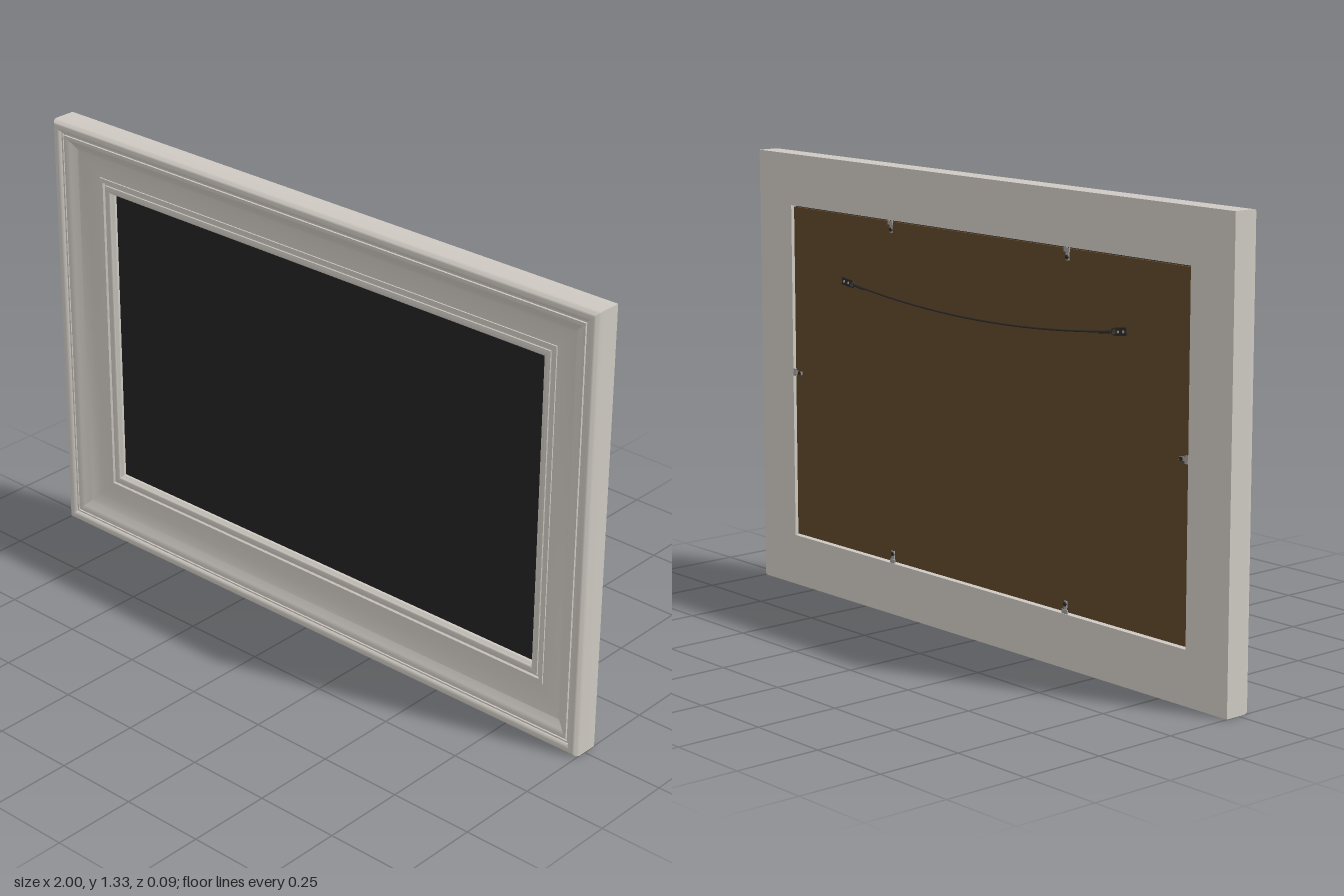
import * as THREE from 'three';
import { toCreasedNormals } from 'three/addons/utils/BufferGeometryUtils.js';

const W = 1, H = 1.33, BACK = -0.043;
const mat = (name, color) => Object.assign(new THREE.MeshStandardMaterial({ color }), { name });

// Moulding cross-section as [inset from outer edge, z], from the back outer edge around the front
function mouldingProfile() {
  const p = [[0, BACK], [0, 0.02]];
  for (let i = 1; i <= 5; i++) { // rounded outer shoulder
    const a = (i / 5) * Math.PI / 2;
    p.push([0.015 * (1 - Math.cos(a)), 0.02 + 0.023 * Math.sin(a)]);
  }
  p.push([0.022, 0.043], [0.028, 0.040], [0.032, 0.034], [0.036, 0.033],
    [0.036, 0.028], [0.041, 0.028], [0.041, 0.034], [0.048, 0.034]);
  for (let i = 1; i <= 10; i++) { // concave sweep down to the sight edge
    const t = i / 10;
    p.push([0.048 + 0.105 * t, 0.034 - 0.036 * (1 - (1 - t) ** 2)]);
  }
  p.push([0.153, 0.002], [0.166, 0.002], [0.169, -0.004], [0.173, -0.004]);
  for (let i = 0; i <= 6; i++) { // inner bead
    const a = (i / 6) * Math.PI;
    p.push([0.1835 - 0.0105 * Math.cos(a), -0.004 + 0.006 * Math.sin(a)]);
  }
  p.push([0.2, -0.012], [0.2, -0.02], [0.155, -0.02], [0.155, BACK], [0, BACK]);
  return p;
}

// Sweep the profile round a rectangle with mitred corners
function frameGeometry() {
  const pos = [], prof = mouldingProfile();
  const corner = (k, [d, z]) => [
    (k === 1 || k === 2 ? 1 : -1) * (W - d), k < 2 ? d : H - d, z];
  for (let k = 0; k < 4; k++) {
    const n = (k + 1) % 4;
    for (let i = 0; i < prof.length - 1; i++) {
      const a = corner(k, prof[i]), b = corner(n, prof[i]);
      const c = corner(n, prof[i + 1]), d = corner(k, prof[i + 1]);
      pos.push(...a, ...b, ...c, ...a, ...c, ...d);
    }
  }
  const g = new THREE.BufferGeometry();
  g.setAttribute('position', new THREE.Float32BufferAttribute(pos, 3));
  return toCreasedNormals(g, 0.6);
}

export function createModel() {
  const root = new THREE.Group();
  root.name = 'pictureFrame';
  const paint = mat('warmGreyPaint', 0xcdc8c1);
  const dark = mat('darkPanel', 0x222222);
  const brown = mat('brownBoard', 0x5e462a);
  const steel = mat('steel', 0x9c9c9c);
  const iron = mat('darkIron', 0x2c2a28);

  const add = (parent, name, geo, m, x = 0, y = 0, z = 0) => {
    const mesh = new THREE.Mesh(geo, m);
    mesh.name = name;
    mesh.position.set(x, y, z);
    parent.add(mesh);
    return mesh;
  };

  add(root, 'moulding', frameGeometry(), paint);
  add(root, 'picturePanel', new THREE.BoxGeometry(1.688, 1.018, 0.006), dark, 0, H / 2, -0.0232);
  add(root, 'backBoard', new THREE.BoxGeometry(1.68, 1.01, 0.01), brown, 0, H / 2, -0.031);

  // Turn clips that hold the board, two on each long side and one on each short side
  const clips = [[-0.375, 0.165, 0], [0.375, 0.165, 0], [-0.375, H - 0.165, Math.PI],
    [0.375, H - 0.165, Math.PI], [-0.835, H / 2, -Math.PI / 2], [0.835, H / 2, Math.PI / 2]];
  for (const [x, y, turn] of clips) {
    const clip = new THREE.Group();
    clip.name = 'turnClip';
    clip.position.set(x, y, -0.038);
    clip.rotation.z = turn;
    root.add(clip);
    add(clip, 'clipFoot', new THREE.BoxGeometry(0.022, 0.012, 0.003), steel, 0, -0.003, -0.004);
    add(clip, 'clipArm', new THREE.BoxGeometry(0.011, 0.03, 0.003), steel, 0, 0.012, -0.001);
    add(clip, 'clipScrew', new THREE.CylinderGeometry(0.006, 0.006, 0.004, 12), iron, 0, 0.018, -0.003)
      .rotation.x = Math.PI / 2;
  }

  // Hanging plates with rings
  for (const s of [-1, 1]) {
    const hanger = new THREE.Group();
    hanger.name = 'hanger';
    hanger.position.set(s * 0.585, 0.97, -0.038);
    hanger.rotation.z = s * 0.12;
    root.add(hanger);
    add(hanger, 'hangerPlate', new THREE.BoxGeometry(0.042, 0.022, 0.004), iron);
    add(hanger, 'hangerRing', new THREE.TorusGeometry(0.009, 0.002, 6, 16), iron, -s * 0.027, 0, -0.001);
    for (const k of [-1, 1]) {
      add(hanger, 'hangerScrew', new THREE.CylinderGeometry(0.004, 0.004, 0.003, 10), steel, k * 0.01, 0, -0.002)
        .rotation.x = Math.PI / 2;
    }
    // wire wrapped round itself beside the ring
    add(root, 'wireTwist', new THREE.CylinderGeometry(0.0045, 0.0045, 0.045, 8), iron, s * 0.525, 0.962, -0.039)
      .rotation.z = Math.PI / 2 + s * 0.15;
  }

  // Sagging wire
  const wire = new THREE.QuadraticBezierCurve3(
    new THREE.Vector3(-0.555, 0.967, -0.039),
    new THREE.Vector3(0, 0.893, -0.039),
    new THREE.Vector3(0.555, 0.967, -0.039));
  add(root, 'hangingWire', new THREE.TubeGeometry(wire, 32, 0.0028, 6), iron);
  return root;
}
